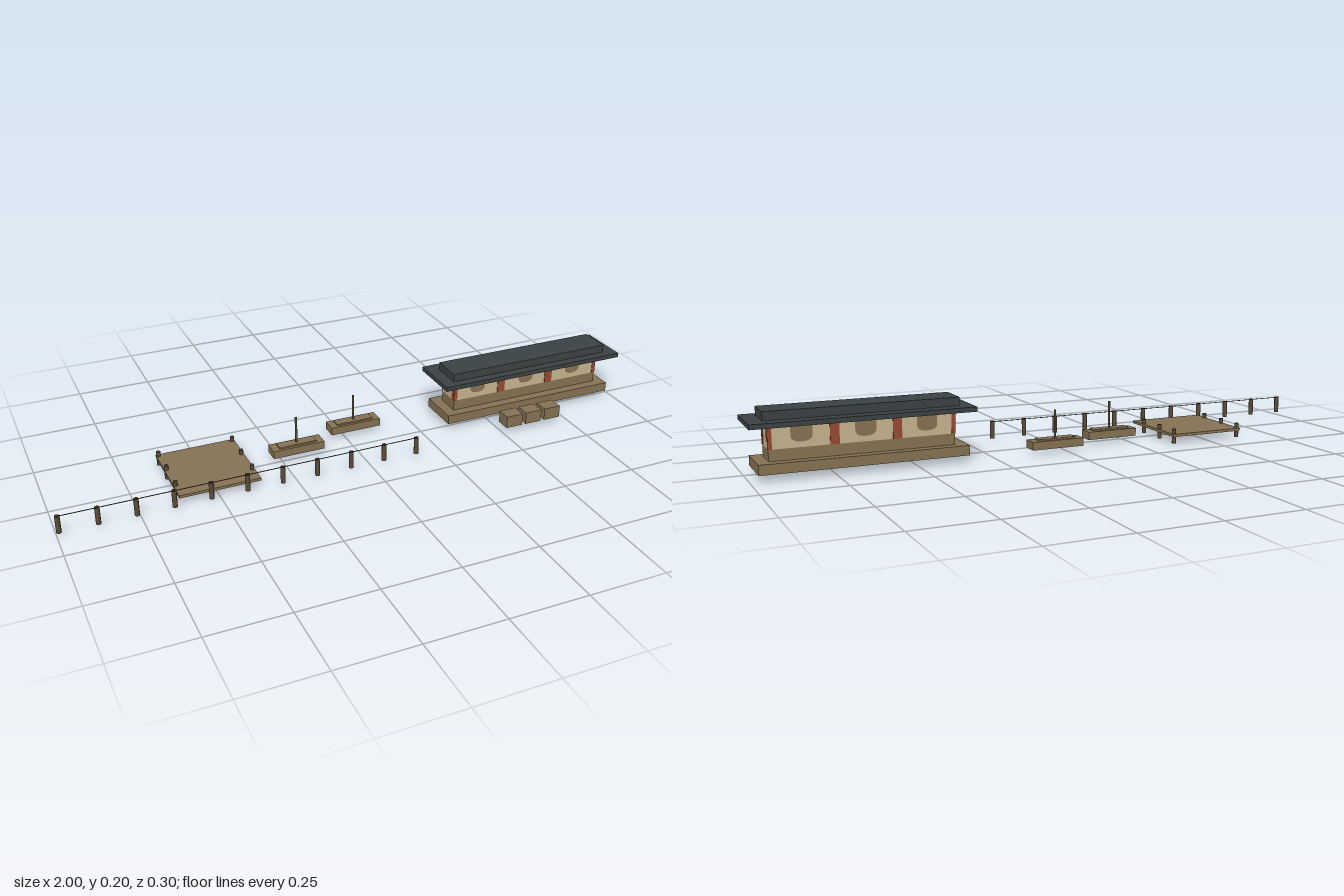
import * as THREE from 'three';

const mat = (name, color, double) => {
  const m = new THREE.MeshStandardMaterial({ color });
  m.name = name;
  if (double) m.side = THREE.DoubleSide;
  return m;
};

export function createModel() {
  const root = new THREE.Group();
  root.name = 'riverDock';
  const wood = mat('weathered wood', 0x857253, true);
  const darkWood = mat('dark timber', 0x594d39, true);
  const plaster = mat('plaster', 0xc6b48e);
  const red = mat('red lacquer', 0x984833);
  const tile = mat('slate roof', 0x3b4243);

  const group = (name) => {
    const g = new THREE.Group();
    g.name = name;
    root.add(g);
    return g;
  };

  // Box given by its limits on each axis; hollow boxes have no bottom face
  const box = (parent, name, m, [x0, x1], [y0, y1], [z0, z1], hollow = false) => {
    const geo = new THREE.BoxGeometry(x1 - x0, y1 - y0, z1 - z0);
    if (hollow) {
      const index = Array.from(geo.index.array);
      index.splice(18, 6);
      geo.clearGroups();
      geo.setIndex(index);
    }
    const mesh = new THREE.Mesh(geo, m);
    mesh.name = name;
    mesh.position.set((x0 + x1) / 2, (y0 + y1) / 2, (z0 + z1) / 2);
    parent.add(mesh);
  };

  // Open-ended round post
  const post = (parent, name, x, z, y0, y1, r) => {
    const geo = new THREE.CylinderGeometry(r, r, y1 - y0, 8, 1, true);
    const mesh = new THREE.Mesh(geo, darkWood);
    mesh.name = name;
    mesh.position.set(x, (y0 + y1) / 2, z);
    parent.add(mesh);
  };

  // Pavilion: plinth, walls and two-tier roof
  const hall = group('pavilion');
  const X = [0.376, 0.942], Z = [-0.087, -0.004];
  box(hall, 'plinth', wood, [0.34, 0.977], [0.022, 0.053], [-0.118, 0.028], true);
  box(hall, 'lowerWall', wood, X, [0.053, 0.088], Z);
  box(hall, 'upperWall', plaster, X, [0.088, 0.16], Z);
  box(hall, 'eaves', tile, [0.318, 1.0], [0.158, 0.173], [-0.13, 0.048]);
  box(hall, 'upperRoof', tile, [0.36, 0.955], [0.173, 0.2], [-0.088, 0.018]);

  // Rounded hanging shutter
  const shutterShape = (w) => {
    const s = new THREE.Shape();
    s.moveTo(-w, 0.159);
    s.lineTo(-w, 0.125);
    s.quadraticCurveTo(-w, 0.105, 0, 0.105);
    s.quadraticCurveTo(w, 0.105, w, 0.125);
    s.lineTo(w, 0.159);
    return s;
  };

  // Columns and shutters on both long walls
  for (const [side, z, w] of [['front', Z[1], 0.028], ['back', Z[0], 0.032]]) {
    const out = side === 'front' ? 1 : -1;
    const plate = [Math.min(z, z + out * 0.002), Math.max(z, z + out * 0.002)];
    for (const [x, half] of [[0.381, 0.006], [0.558, 0.014], [0.748, 0.014], [0.937, 0.006]])
      box(hall, side + 'Column', red, [x - half, x + half], [0.088, 0.159], plate);
    for (const x of [0.465, 0.655, 0.845]) {
      const shutter = new THREE.Mesh(new THREE.ShapeGeometry(shutterShape(w), 8), wood);
      shutter.name = side + 'Shutter';
      shutter.position.set(x, 0, z + out * 0.0015);
      hall.add(shutter);
    }
  }

  // Corner columns and back boards on the end walls
  for (const [x0, x1] of [[X[0] - 0.002, X[0]], [X[1], X[1] + 0.002]]) {
    box(hall, 'endColumn', red, [x0, x1], [0.09, 0.159], [-0.018, -0.004]);
    box(hall, 'endBoard', wood, [x0, x1], [0.112, 0.159], [-0.087, -0.073]);
  }

  // Crates in front of the pavilion
  const crates = group('crates');
  for (let i = 0; i < 3; i++) {
    const x = 0.537 + i * 0.0735;
    box(crates, 'crate', wood, [x - 0.03, x + 0.03], [0.022, 0.063], [0.081, 0.132], true);
  }

  // Two moored boats
  for (const [x, z] of [[-0.192, -0.022], [0.04, -0.093]]) {
    const boat = group('boat');
    box(boat, 'hull', wood, [x - 0.088, x + 0.088], [0.017, 0.043], [z - 0.026, z + 0.026], true);
    box(boat, 'deck', wood, [x - 0.064, x + 0.064], [0.043, 0.048], [z - 0.017, z + 0.017], true);
    post(boat, 'mast', x, z, 0.043, 0.137, 0.004);
  }

  // Jetty platform on six piles
  const jetty = group('jetty');
  box(jetty, 'platform', wood, [-0.627, -0.365], [0.023, 0.032], [-0.15, 0.122]);
  for (const x of [-0.62, -0.373])
    for (const z of [-0.14, -0.046, 0.059]) post(jetty, 'pile', x, z, 0, 0.048, 0.007);

  // Row of mooring posts joined by a rope
  const fence = group('mooringFence');
  for (let i = 0; i <= 10; i++) post(fence, 'fencePost', -0.992 + i * 0.1152, 0.143, 0.0115, 0.069, 0.008);
  box(fence, 'rope', darkWood, [-0.992, 0.16], [0.066, 0.068], [0.142, 0.144]);

  return root;
}
